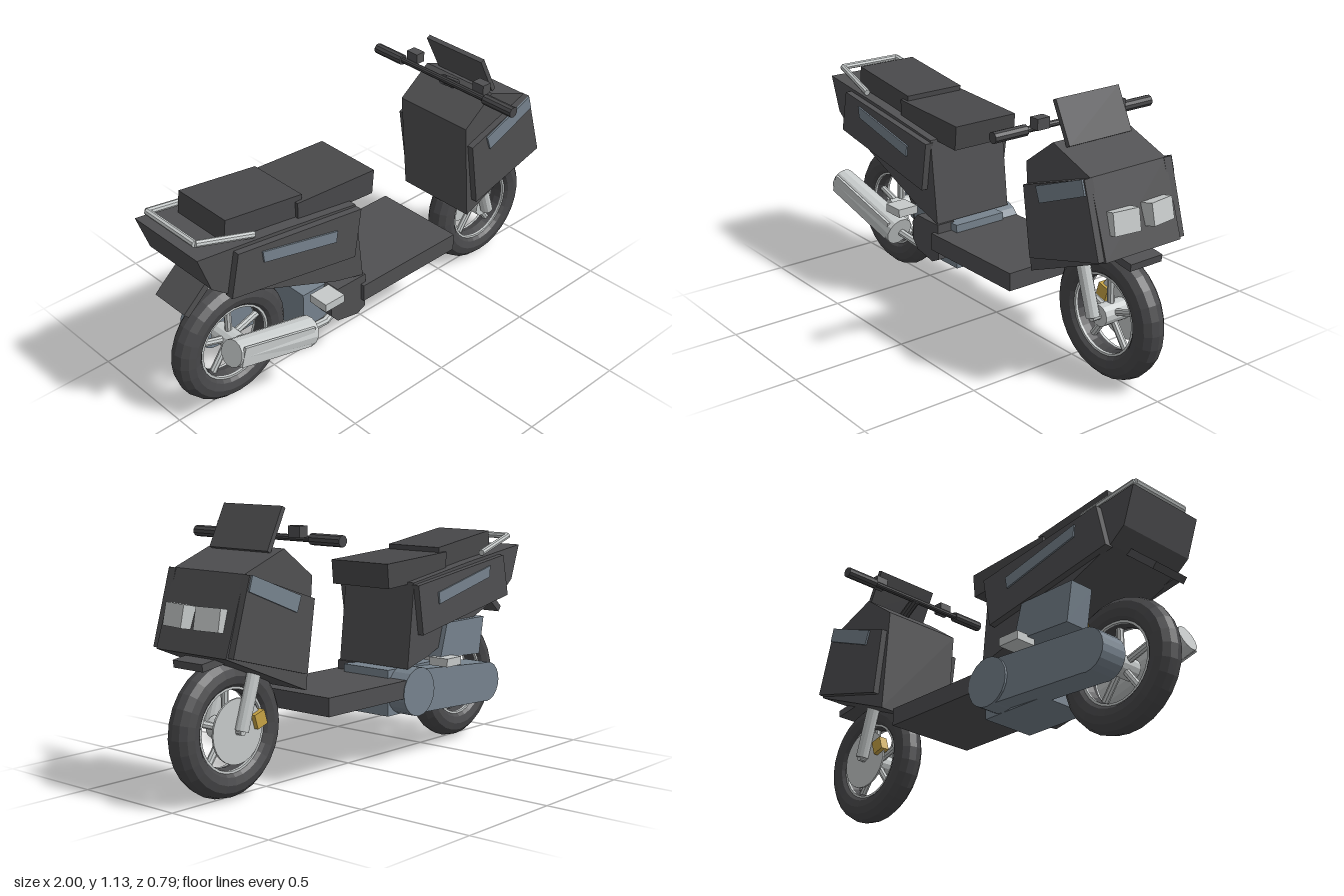
import * as THREE from 'three';

const mat = (name, color) => {
  const m = new THREE.MeshStandardMaterial({ color });
  m.name = name;
  return m;
};

export function createModel() {
  const body = mat('charcoal body', 0x505052);
  const rubber = mat('rubber', 0x48484a);
  const steel = mat('blue grey', 0x77838e);
  const silver = mat('silver', 0xc6caca);
  const gold = mat('gold', 0xc6a345);

  const model = new THREE.Group();
  model.name = 'scooter';

  // Faceted mesh added to a parent
  const add = (name, geo, material, parent = model) => {
    const g = geo.index ? geo.toNonIndexed() : geo;
    g.computeVertexNormals();
    const mesh = new THREE.Mesh(g, material);
    mesh.name = name;
    parent.add(mesh);
    return mesh;
  };
  // Box by centre and size, pitched in the side plane
  const box = (name, [x, y, z], size, material, pitch = 0, yaw = 0) => {
    const m = add(name, new THREE.BoxGeometry(...size), material);
    m.position.set(x, y, z);
    m.rotation.set(0, yaw, pitch);
    return m;
  };
  // Side profile extruded from z0 to z1
  const slab = (name, pts, z0, z1, material) => {
    const shape = new THREE.Shape(pts.map(p => new THREE.Vector2(...p)));
    const geo = new THREE.ExtrudeGeometry(shape, { depth: z1 - z0, bevelEnabled: false });
    return add(name, geo.translate(0, 0, z0), material);
  };
  // Rod between two points, r0 at the start and r1 at the end
  const rod = (name, a, b, r0, r1, material, sides = 10, parent = model) => {
    const p = new THREE.Vector3(...a), q = new THREE.Vector3(...b);
    const d = q.clone().sub(p);
    const m = add(name, new THREE.CylinderGeometry(r1, r0, d.length(), sides), material, parent);
    m.position.copy(p).add(q).multiplyScalar(0.5);
    m.quaternion.setFromUnitVectors(new THREE.Vector3(0, 1, 0), d.normalize());
    return m;
  };

  // Wheels
  const wheel = (name, x) => {
    const g = new THREE.Group();
    g.name = name;
    g.position.set(x, 0.278, 0);
    model.add(g);
    add('tire', new THREE.TorusGeometry(0.213, 0.061, 12, 28), rubber, g);
    const ring = new THREE.Shape().absarc(0, 0, 0.178, 0, Math.PI * 2, false);
    ring.holes.push(new THREE.Path().absarc(0, 0, 0.16, 0, Math.PI * 2, true));
    const rim = new THREE.ExtrudeGeometry(ring, { depth: 0.08, bevelEnabled: false, curveSegments: 14 });
    add('rim', rim.translate(0, 0, -0.04), silver, g);
    rod('hub', [0, 0, -0.06], [0, 0, 0.06], 0.045, 0.045, silver, 14, g);
    for (let i = 0; i < 5; i++) {
      const a = Math.PI / 2 + i * Math.PI * 0.4;
      rod('spoke', [0, 0, 0], [Math.cos(a) * 0.17, Math.sin(a) * 0.17, 0], 0.015, 0.015, silver, 8, g);
    }
    return g;
  };
  wheel('rearWheel', -0.727);
  const front = wheel('frontWheel', 0.722);
  rod('brakeDisc', [0, 0, -0.07], [0, 0, -0.062], 0.13, 0.13, silver, 24, front);
  box('brakeCaliper', [0.615, 0.31, -0.07], [0.055, 0.06, 0.04], gold, -0.3);

  // Front fork and fender
  for (const s of [-1, 1]) {
    rod('forkLeg', [0.718, 0.28, s * 0.087], [0.63, 0.56, s * 0.087], 0.028, 0.028, silver, 12);
  }
  rod('frontAxle', [0.722, 0.278, -0.1], [0.722, 0.278, 0.1], 0.014, 0.014, silver);
  box('frontFender', [0.83, 0.56, 0], [0.16, 0.03, 0.16], body, -0.15);

  // Front cowl with side panels and accent strips
  slab('frontCowl', [[0.43, 0.86], [0.465, 0.415], [0.895, 0.592], [0.795, 0.895], [0.585, 0.975]], -0.19, 0.19, body);
  const cowlPanel = [[0.447, 0.775], [0.49, 0.485], [0.885, 0.595], [0.797, 0.895]];
  const cowlStrip = [[0.53, 0.795], [0.553, 0.732], [0.808, 0.835], [0.79, 0.895]];
  // Rear side panels and accent strips
  const tailPanel = [[-0.82, 0.85], [-0.86, 0.665], [-0.235, 0.55], [-0.2, 0.765]];
  const tailStrip = [[-0.71, 0.81], [-0.705, 0.76], [-0.34, 0.675], [-0.333, 0.725]];
  for (const s of [-1, 1]) {
    const side = (name, pts, z0, z1, m) => slab(name, pts, Math.min(s * z0, s * z1), Math.max(s * z0, s * z1), m);
    side('cowlSidePanel', cowlPanel, 0.18, 0.219, body);
    side('cowlStrip', cowlStrip, 0.219, 0.227, steel);
    side('tailSidePanel', tailPanel, 0.18, 0.219, body);
    side('tailStrip', tailStrip, 0.219, 0.226, steel);
    box('headlight', [0.868, 0.725, s * 0.088], [0.055, 0.09, 0.118], silver, 0.2, s * -0.13);
    rod('grip', [0.484, 1.007, s * 0.24], [0.484, 1.007, s * 0.395], 0.023, 0.023, rubber);
    box('brakeReservoir', [0.512, 1.035, s * 0.192], [0.045, 0.045, 0.06], body);
    box('footPeg', [-0.39, 0.422, s * 0.22], [0.1, 0.036, 0.095], silver);
  }

  // Windscreen and handlebar
  box('windscreen', [0.592, 1.045, 0], [0.02, 0.185, 0.314], body, 0.46);
  rod('handlebar', [0.484, 1.007, -0.26], [0.484, 1.007, 0.26], 0.013, 0.013, rubber);
  rod('handlebarStem', [0.484, 1.007, 0], [0.585, 0.94, 0], 0.022, 0.022, rubber);

  // Floorboard and rear body
  box('floorboard', [0.09, 0.332, 0], [0.54, 0.077, 0.425], body);
  slab('rearBody', [[-0.985, 0.885], [-0.93, 0.73], [-0.86, 0.675], [-0.675, 0.6], [-0.31, 0.45],
    [-0.165, 0.41], [-0.205, 0.775], [-0.6, 0.835]], -0.19, 0.19, body);
  slab('rearSeat', [[-0.825, 0.855], [-0.445, 0.8], [-0.44, 0.905], [-0.812, 0.957]], -0.14, 0.14, rubber);
  slab('frontSeat', [[-0.475, 0.785], [-0.08, 0.757], [-0.07, 0.862], [-0.475, 0.885]], -0.155, 0.155, rubber);
  box('plateHolder', [-0.905, 0.645, 0], [0.21, 0.03, 0.18], body, 0.72);

  // Grab rail behind the seat
  const rail = [[-0.71, 0.865, -0.175], [-0.957, 0.925, -0.145], [-0.957, 0.925, 0.145], [-0.71, 0.865, 0.175]];
  for (let i = 0; i < 3; i++) rod('grabRail', rail[i], rail[i + 1], 0.014, 0.014, silver, 8);

  // Engine, belt case and air box
  box('engineBlock', [-0.275, 0.305, 0], [0.32, 0.2, 0.25], steel);
  rod('beltCaseFront', [-0.215, 0.31, -0.215], [-0.215, 0.31, -0.1], 0.105, 0.105, steel, 20);
  rod('beltCaseRear', [-0.727, 0.278, -0.205], [-0.727, 0.278, -0.08], 0.09, 0.09, steel, 20);
  slab('beltCase', [[-0.727, 0.19], [-0.215, 0.215], [-0.215, 0.405], [-0.727, 0.367]], -0.205, -0.08, steel);
  slab('airBox', [[-0.68, 0.585], [-0.65, 0.42], [-0.365, 0.435], [-0.41, 0.585]], -0.213, -0.1, steel);
  slab('engineSideCover', [[-0.31, 0.41], [-0.345, 0.37], [-0.345, 0.29], [-0.31, 0.25], [-0.2, 0.228],
    [-0.155, 0.25], [-0.155, 0.41]], 0.11, 0.195, body);
  rod('shockSpring', [-0.615, 0.45, -0.085], [-0.53, 0.6, -0.085], 0.026, 0.026, gold, 10);

  // Exhaust with heat shield
  rod('muffler', [-0.88, 0.415, 0.218], [-0.47, 0.278, 0.183], 0.056, 0.065, silver, 14);
  box('heatShield', [-0.675, 0.352, 0.252], [0.4, 0.085, 0.012], silver, -0.32, 0.08);
  rod('exhaustPipe', [-0.48, 0.27, 0.17], [-0.34, 0.24, 0.15], 0.017, 0.017, silver, 8);
  rod('exhaustPipe', [-0.34, 0.24, 0.15], [-0.17, 0.25, 0.1], 0.017, 0.017, silver, 8);

  return model;
}
